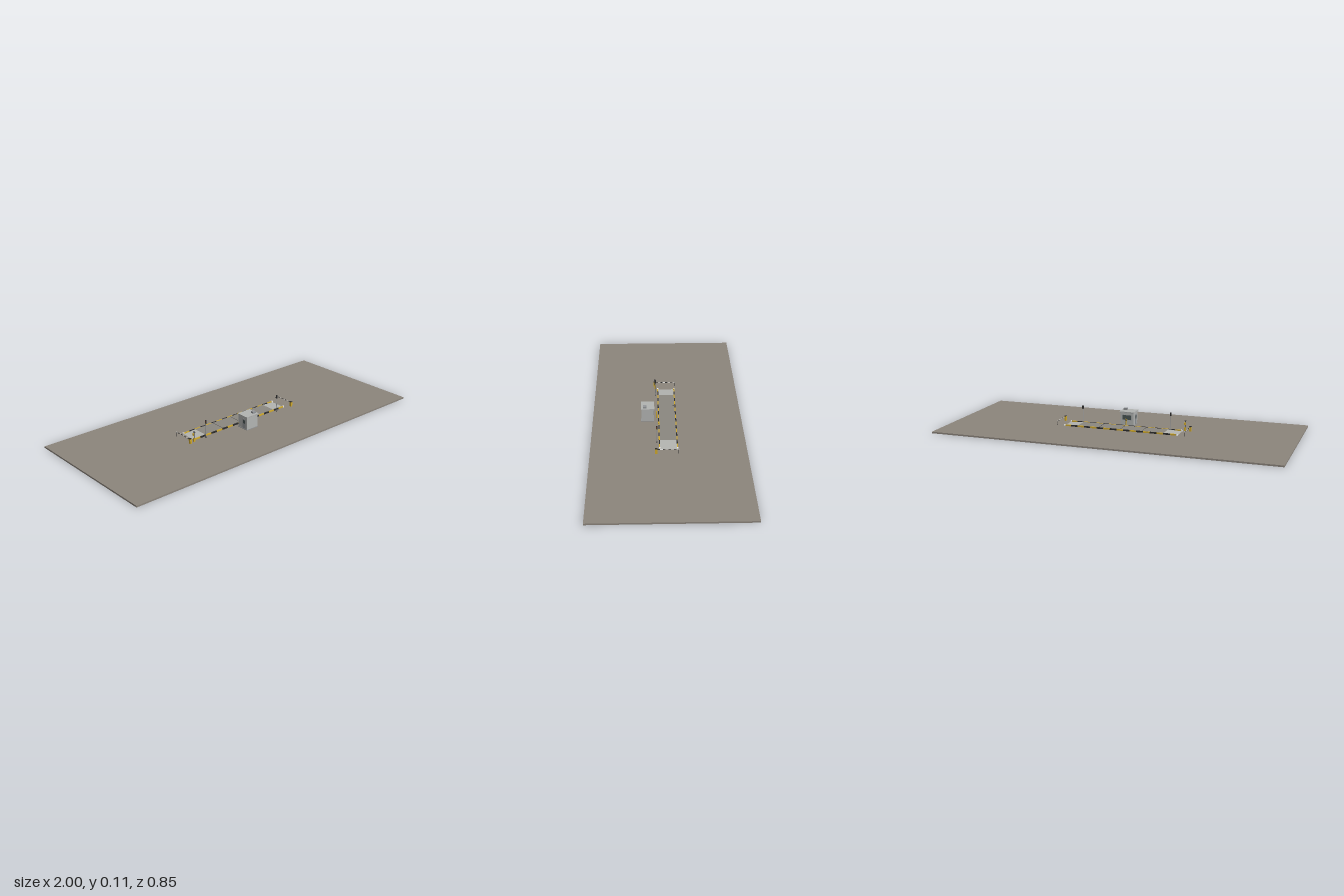
import * as THREE from 'three';

const mat = (name, color) => {
  const m = new THREE.MeshStandardMaterial({ color });
  m.name = name;
  return m;
};

export function createModel() {
  const asphalt = mat('asphalt', 0x8c857c);
  const deckGrey = mat('deckGrey', 0x8b8780);
  const concrete = mat('concrete', 0xb3b4b0);
  const wall = mat('wallGrey', 0xb2b4b2);
  const trim = mat('trimGrey', 0x94979a);
  const dark = mat('darkSteel', 0x2c2c2c);
  const yellow = mat('safetyYellow', 0xd0a92c);
  const white = mat('white', 0xf0f0ec);
  const glass = mat('windowGlass', 0x4a5655);
  const red = mat('signalRed', 0xb03028);

  const model = new THREE.Group();
  model.name = 'weighbridge';

  const add = (parent, name, geometry, material, x, y, z) => {
    const mesh = new THREE.Mesh(geometry, material);
    mesh.name = name;
    mesh.position.set(x, y, z);
    parent.add(mesh);
    return mesh;
  };
  // Box given by its centre in x and z and its base height
  const box = (parent, name, material, w, h, d, x, y, z) =>
    add(parent, name, new THREE.BoxGeometry(w, h, d), material, x, y + h / 2, z);
  const pole = (parent, name, material, r, h, x, y, z) =>
    add(parent, name, new THREE.CylinderGeometry(r, r, h, 10), material, x, y + h / 2, z);
  const group = (name, x = 0, z = 0) => {
    const g = new THREE.Group();
    g.name = name;
    g.position.set(x, 0, z);
    model.add(g);
    return g;
  };
  const rectangle = (S, w, d) => {
    const s = new S();
    s.moveTo(-w, -d);
    s.lineTo(w, -d);
    s.lineTo(w, d);
    s.lineTo(-w, d);
    s.closePath();
    return s;
  };

  const G = 0.009; // ground level

  // Paved slab with the weighing pit cut out
  const slab = rectangle(THREE.Shape, 1, 0.427);
  slab.holes.push(rectangle(THREE.Path, 0.34, 0.046));
  const slabGeometry = new THREE.ExtrudeGeometry(slab, { depth: G, bevelEnabled: false });
  slabGeometry.rotateX(-Math.PI / 2);
  add(model, 'groundSlab', slabGeometry, asphalt, 0, 0, 0);

  // Weighing deck between its foundation and the ramps
  const deck = group('scale');
  box(deck, 'foundation', concrete, 0.52, 0.008, 0.092, 0, 0.002, 0);
  box(deck, 'deckPlate', deckGrey, 0.52, 0.006, 0.092, 0, 0.01, 0);
  for (const x of [-0.13, 0, 0.13]) box(deck, 'deckJoint', dark, 0.0015, 0.0004, 0.09, x, 0.016, 0);
  for (const side of [-1, 1]) {
    const profile = new THREE.Shape();
    profile.moveTo(0.26, 0.004);
    profile.lineTo(0.342, 0.004);
    profile.lineTo(0.342, G + 0.001);
    profile.lineTo(0.26, 0.016);
    profile.closePath();
    const ramp = new THREE.ExtrudeGeometry(profile, { depth: 0.092, bevelEnabled: false });
    ramp.translate(0, 0, -0.046);
    if (side < 0) ramp.rotateY(Math.PI);
    add(deck, 'ramp', ramp, concrete, 0, 0, 0);

    // Striped kerbs along both long edges
    const count = 17, step = 0.68 / count;
    for (let i = 0; i < count; i++) {
      box(deck, 'kerbStripe', i % 2 ? dark : yellow, step, 0.0085, 0.006,
        -0.34 + step * (i + 0.5), G, side * 0.049);
    }
    // Corner markers
    for (const z of [-0.049, 0.049]) {
      box(deck, 'cornerMarker', white, 0.009, 0.009, 0.008, side * 0.34, G, z);
    }
  }

  // Operator booth
  const booth = group('booth', 0, 0.112);
  box(booth, 'boothPlinth', trim, 0.084, 0.003, 0.074, 0, G, 0);
  box(booth, 'boothWalls', wall, 0.08, 0.076, 0.07, 0, G + 0.002, 0);
  box(booth, 'boothRoof', wall, 0.09, 0.005, 0.077, 0, 0.086, 0);
  box(booth, 'roofTrim', trim, 0.086, 0.002, 0.074, 0, 0.0845, 0);
  box(booth, 'airUnit', trim, 0.02, 0.011, 0.019, 0.025, 0.091, 0.016);
  box(booth, 'frontWindowFrame', trim, 0.056, 0.03, 0.001, 0, 0.042, -0.0353);
  box(booth, 'frontWindow', glass, 0.052, 0.026, 0.001, 0, 0.044, -0.0358);
  box(booth, 'door', trim, 0.001, 0.058, 0.026, -0.0403, 0.012, 0.01);
  box(booth, 'doorWindow', glass, 0.001, 0.02, 0.016, -0.0408, 0.044, 0.01);

  // Barriers across both approaches, with a cabinet, arm and rest post
  for (const side of [-1, 1]) {
    const barrier = group('barrier', side * 0.385);
    box(barrier, 'barrierCabinet', yellow, 0.011, 0.028, 0.013, 0, G, 0.068);
    box(barrier, 'cabinetCap', dark, 0.012, 0.002, 0.014, 0, 0.037, 0.068);
    for (let i = 0; i < 8; i++) {
      box(barrier, 'armStripe', i % 2 ? white : dark, 0.002, 0.003, 0.0148,
        0, 0.033, 0.054 - i * 0.0148);
    }
    pole(barrier, 'restPost', dark, 0.0014, 0.024, 0, G, -0.053);

    // Traffic light
    const light = group('trafficLight', side * 0.27, 0.063);
    pole(light, 'lightPole', trim, 0.0016, 0.083, 0, G, 0);
    box(light, 'lightFoot', dark, 0.008, 0.002, 0.008, 0, G, 0);
    box(light, 'lightHead', dark, 0.007, 0.019, 0.008, 0, 0.092, 0);
    const lamp = new THREE.CylinderGeometry(0.0024, 0.0024, 0.001, 12);
    lamp.rotateZ(Math.PI / 2);
    add(light, 'redLamp', lamp, red, side * 0.0037, 0.106, 0);
    add(light, 'yellowLamp', lamp, yellow, side * 0.0037, 0.097, 0);
  }

  // Card reader at the entry
  const reader = group('cardReader', -0.355, 0.064);
  box(reader, 'readerBase', yellow, 0.009, 0.022, 0.009, 0, G, 0);
  pole(reader, 'readerPost', dark, 0.0016, 0.038, 0, 0.031, 0.002);
  box(reader, 'readerHead', yellow, 0.008, 0.014, 0.007, 0, 0.045, -0.003);
  box(reader, 'readerHood', dark, 0.009, 0.0025, 0.009, 0, 0.067, 0.002);

  // Intercom post in front of the booth
  const intercom = group('intercom', 0, 0.061);
  pole(intercom, 'intercomPost', yellow, 0.0025, 0.032, 0, G, 0);
  box(intercom, 'intercomHead', yellow, 0.008, 0.014, 0.006, 0, 0.038, 0);
  box(intercom, 'intercomPanel', dark, 0.006, 0.009, 0.001, 0, 0.041, -0.0033);

  return model;
}
